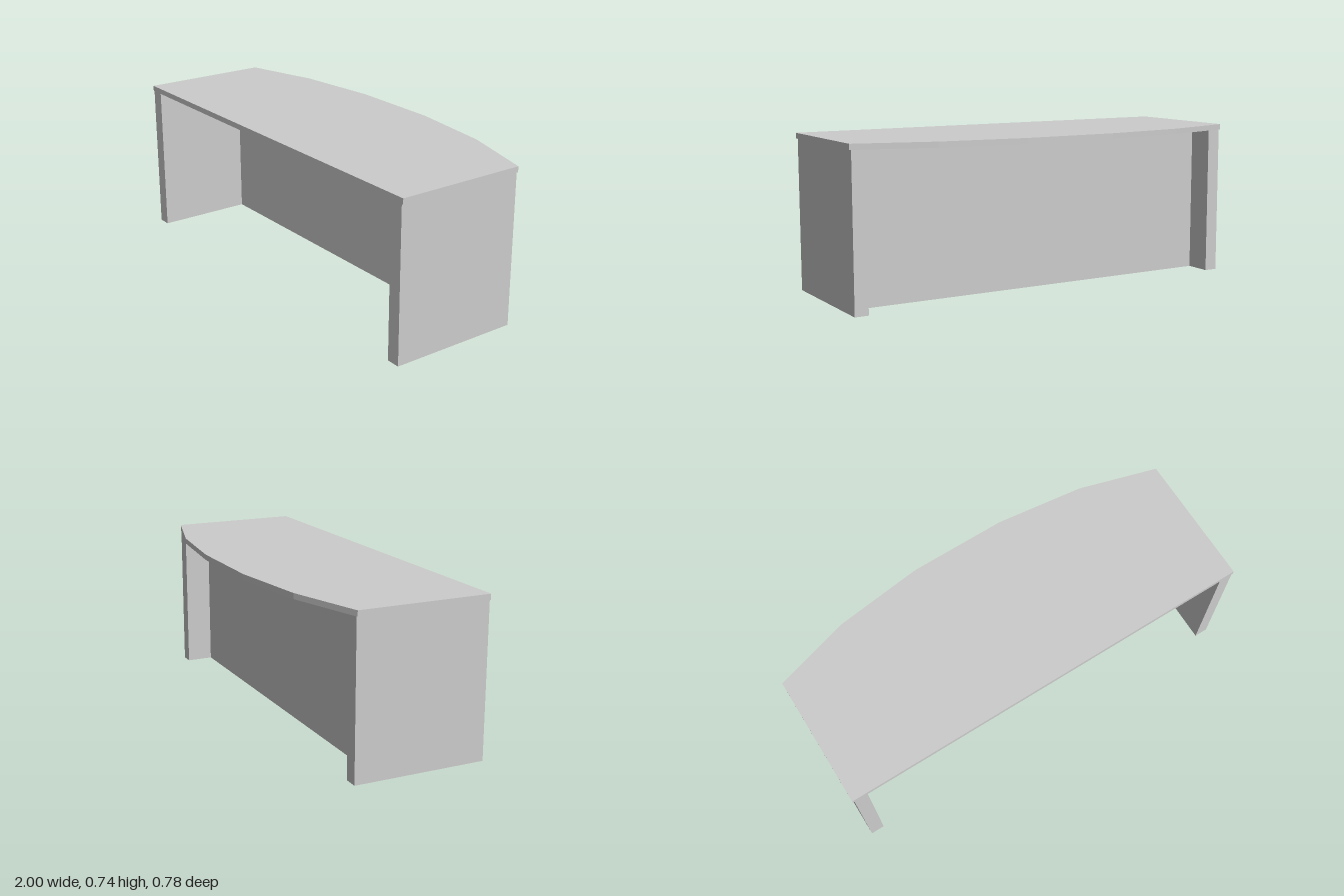
import * as THREE from 'three';

const TOP = 0.74, UNDER = 0.714, FRONT = 0.39, SIDE_BACK = -0.233;

export function createModel() {
  const desk = new THREE.Group();
  desk.name = 'desk';
  const material = new THREE.MeshStandardMaterial({ color: 0xcccccc, flatShading: true });

  const add = (name, geometry) => {
    const mesh = new THREE.Mesh(geometry, material);
    mesh.name = name;
    desk.add(mesh);
    return mesh;
  };

  // Box given by its extents along each axis
  const addBox = (name, [x0, x1], [y0, y1], [z0, z1]) =>
    add(name, new THREE.BoxGeometry(x1 - x0, y1 - y0, z1 - z0))
      .position.set((x0 + x1) / 2, (y0 + y1) / 2, (z0 + z1) / 2);

  // Desktop: straight front edge, faceted bow at the back
  const bow = [[1, SIDE_BACK], [0.637, -0.338], [0.227, -0.389]];
  const outline = [[-1, FRONT], [1, FRONT], ...bow, ...bow.map(([x, z]) => [-x, z]).reverse()];
  const shape = new THREE.Shape(outline.map(([x, z]) => new THREE.Vector2(x, -z)));
  const top = new THREE.ExtrudeGeometry(shape, { depth: TOP - UNDER, bevelEnabled: false });
  top.rotateX(-Math.PI / 2);
  add('desktop', top).position.y = UNDER;

  // Side panels, set in slightly from the ends of the desktop
  addBox('leftSidePanel', [0.927, 0.992], [0, UNDER], [SIDE_BACK, FRONT]);
  addBox('rightSidePanel', [-0.992, -0.927], [0, UNDER], [SIDE_BACK, FRONT]);

  // Modesty panel between the sides, set forward of their back edges
  addBox('modestyPanel', [-0.927, 0.927], [0, UNDER], [-0.105, -0.078]);

  return desk;
}
